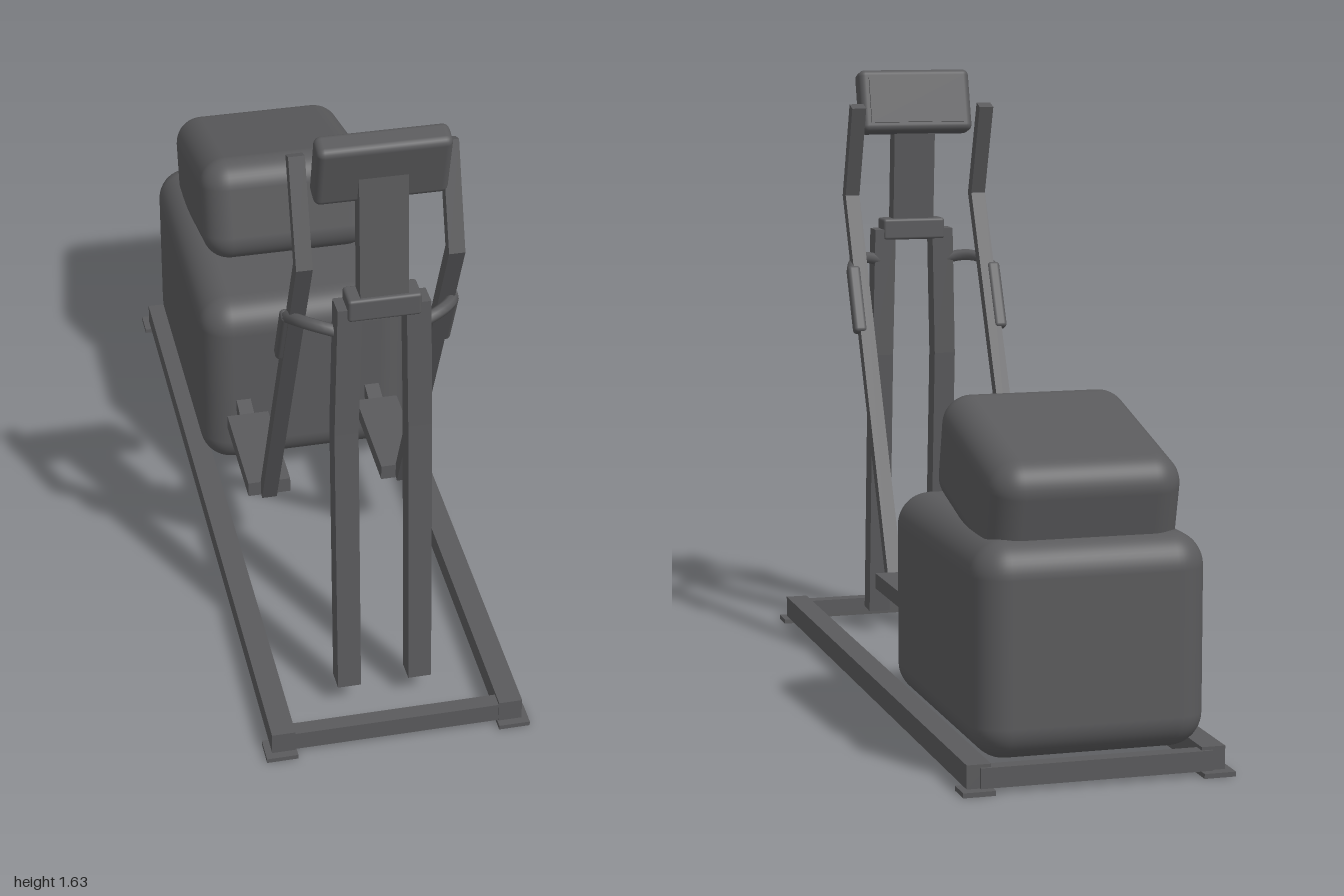
import * as THREE from 'three';
import { RoundedBoxGeometry } from 'three/addons/geometries/RoundedBoxGeometry.js';

export function createModel() {
  const group = new THREE.Group();
  const darkGrey = new THREE.MeshStandardMaterial({ color: 0x5a5a5c });
  darkGrey.name = 'darkGrey';

  const add = (name, geometry, x = 0, y = 0, z = 0, tilt = 0) => {
    const mesh = new THREE.Mesh(geometry, darkGrey);
    mesh.name = name;
    mesh.position.set(x, y, z);
    mesh.rotation.x = tilt;
    group.add(mesh);
    return mesh;
  };
  const box = (w, h, d) => new THREE.BoxGeometry(w, h, d);
  const rounded = (w, h, d, r, s = 3) => new RoundedBoxGeometry(w, h, d, s, r);

  // Bar of rectangular section with mitred bends, following [z, y] points
  const bar = (points, thickness, width) => {
    const p = points.map(([z, y]) => new THREE.Vector2(z, y));
    const dirs = p.slice(1).map((q, i) => q.clone().sub(p[i]).normalize());
    const normal = (d) => new THREE.Vector2(-d.y, d.x);
    const near = [], far = [];
    p.forEach((q, i) => {
      const a = normal(dirs[Math.max(i - 1, 0)]);
      const b = normal(dirs[Math.min(i, dirs.length - 1)]);
      const m = a.clone().add(b).normalize();
      m.multiplyScalar(thickness / 2 / m.dot(a));
      near.push(q.clone().add(m));
      far.unshift(q.clone().sub(m));
    });
    const geometry = new THREE.ExtrudeGeometry(new THREE.Shape([...near, ...far]), { depth: width, bevelEnabled: false });
    return geometry.translate(0, 0, -width / 2).rotateY(-Math.PI / 2);
  };

  // Floor frame
  for (const end of [1, -1]) {
    add('crossRail', box(0.58, 0.05, 0.04), 0, 0.037, end * 0.957);
    for (const side of [1, -1]) {
      add('footPlate', box(0.08, 0.012, 0.07), side * 0.3, 0.006, end * 0.965);
    }
  }

  for (const side of [1, -1]) {
    add('sideRail', box(0.06, 0.058, 1.95), side * 0.293, 0.041, 0.005);

    // Upright, leaning slightly inwards above its bend
    const upright = bar([[0.8, 0.06], [0.745, 0.82], [0.738, 1.18]], 0.06, 0.06);
    const pos = upright.attributes.position;
    for (let i = 0; i < pos.count; i++) {
      if (pos.getY(i) > 1) pos.setX(i, pos.getX(i) - side * 0.008);
    }
    upright.computeVertexNormals();
    add('upright', upright, side * 0.092);

    // Swinging handle and lever
    add('handleLever', bar([[0.62, 1.535], [0.708, 1.28], [0.232, 0.25]], 0.034, 0.04), side * 0.185);

    // Fixed grip: curved arm out from the upright, then a sleeve down the lever
    const curve = new THREE.QuadraticBezierCurve3(
      new THREE.Vector3(side * 0.1, 1.092, 0.725),
      new THREE.Vector3(side * 0.185, 1.12, 0.71),
      new THREE.Vector3(side * 0.205, 1.075, 0.61));
    add('gripArm', new THREE.TubeGeometry(curve, 10, 0.016, 8));
    add('gripSleeve', rounded(0.036, 0.195, 0.034, 0.01), side * 0.204, 0.997, 0.572, 0.432);

    // Pedal and its link into the housing
    add('pedal', box(0.114, 0.042, 0.31), side * 0.182, 0.264, 0.077);
    add('pedalLink', bar([[-0.055, 0.246], [-0.24, 0.295]], 0.04, 0.04), side * 0.182);
  }

  // Console and its post
  add('crossBracket', rounded(0.18, 0.06, 0.072, 0.008), 0, 1.18, 0.741);
  add('consolePost', bar([[0.745, 1.16], [0.716, 1.535]], 0.05, 0.118));
  add('console', rounded(0.322, 0.178, 0.068, 0.018), 0, 1.541, 0.711, 0.26);
  const screen = add('screen', box(0.27, 0.13, 0.006), 0, 1.541, 0.711, 0.26);
  screen.translateZ(-0.036);

  // Drive housing in two rounded blocks
  add('lowerHousing', rounded(0.582, 0.528, 0.82, 0.085, 6), 0, 0.322, -0.55);
  add('upperHousing', rounded(0.478, 0.29, 0.545, 0.075, 6), 0, 0.68, -0.641, -0.245);

  return group;
}
